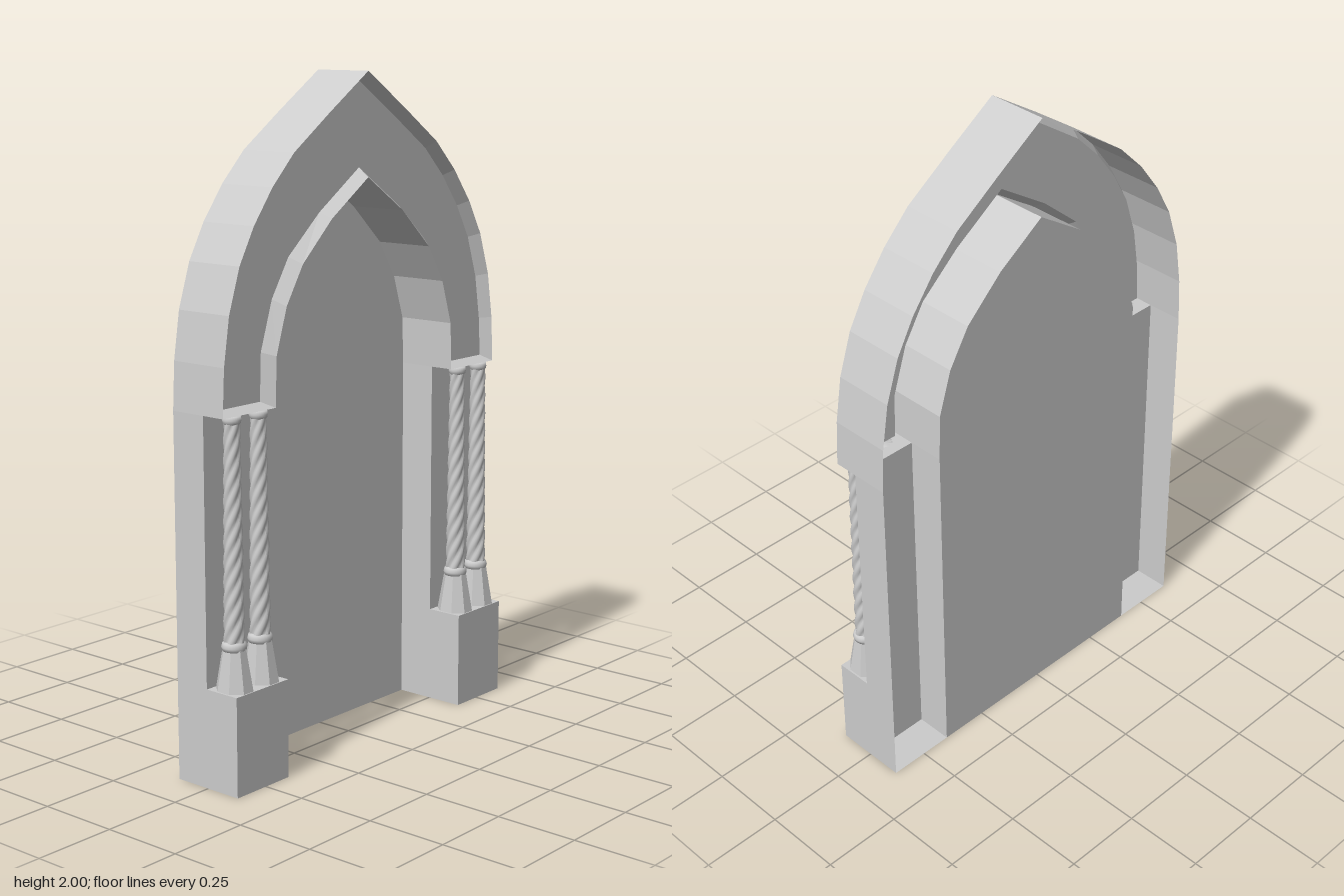
import * as THREE from 'three';

const BACK = -0.115, JAMB = 0, FRONT = 0.075, RECESS = 0.04, SPRING = 1.08;

// Half profiles of the pointed arches, from the springing up to the apex
const OUTER = [[0.617, 1.08], [0.61, 1.22], [0.588, 1.36], [0.545, 1.49], [0.486, 1.595],
  [0.41, 1.695], [0.32, 1.785], [0.17, 1.888], [0, 2]];
const OUTER_LIP = OUTER.map(([x, y], i) => [x * 0.968, i ? SPRING + (y - SPRING) * 0.97 : 1.097]);
const INNER = [[0.403, 1.08], [0.398, 1.225], [0.355, 1.36], [0.286, 1.472], [0.16, 1.59], [0, 1.697]];
const INNER_LIP = [[0.43, 1.097], [0.425, 1.236], [0.378, 1.38], [0.308, 1.492], [0.175, 1.607], [0, 1.724]];

const solid = new THREE.MeshStandardMaterial({ color: 0xcccccc });
const faceted = new THREE.MeshStandardMaterial({ color: 0xcccccc, flatShading: true, side: THREE.DoubleSide });

// Full arch line from the right springing over the apex to the left one
const full = (half) => [...half.map(([x, y]) => [-x, y]), ...half.slice(0, -1).reverse()];
const at = (line, z) => line.map(([x, y]) => [x, y, z]);

function add(parent, name, geometry, material = faceted) {
  const mesh = new THREE.Mesh(geometry, material);
  mesh.name = name;
  parent.add(mesh);
  return mesh;
}

// Flat-faced strip between two lines with the same number of points
function strip(a, b) {
  const pos = [];
  for (let i = 0; i < a.length - 1; i++) {
    pos.push(...a[i], ...b[i], ...a[i + 1], ...a[i + 1], ...b[i], ...b[i + 1]);
  }
  const g = new THREE.BufferGeometry();
  g.setAttribute('position', new THREE.Float32BufferAttribute(pos, 3));
  g.computeVertexNormals();
  return g;
}

function flat(points, z) {
  const shape = new THREE.Shape(points.map(([x, y]) => new THREE.Vector2(x, y)));
  return new THREE.ShapeGeometry(shape).translate(0, 0, z);
}

// Tapered shaft with rounded strands winding around it
function twistedShaft(bottom, top, r0, r1) {
  const g = new THREE.CylinderGeometry(1, 1, top - bottom, 30, 56, true);
  const p = g.attributes.position;
  for (let i = 0; i < p.count; i++) {
    const t = p.getY(i) / (top - bottom) + 0.5;
    const angle = Math.atan2(p.getX(i), p.getZ(i));
    const strand = Math.abs(Math.cos(2.5 * (angle - t * Math.PI * 4.4)));
    const r = THREE.MathUtils.lerp(r0, r1, t) * (0.8 + 0.2 * strand);
    p.setX(i, Math.sin(angle) * r);
    p.setZ(i, Math.cos(angle) * r);
  }
  g.computeVertexNormals();
  return g.translate(0, (bottom + top) / 2, 0);
}

function column(x) {
  const g = new THREE.Group();
  g.name = 'column';
  // Eight-sided flared foot
  const foot = new THREE.CylinderGeometry(0.034, 0.054, 0.12, 8);
  foot.rotateY(Math.PI / 8).scale(0.95, 1, 1.08).translate(0, 0.355, 0);
  add(g, 'columnFoot', foot);
  // Rounded collar above the foot
  const collar = [[0.026, 0.41], [0.034, 0.411], [0.037, 0.422], [0.034, 0.433], [0.027, 0.437]];
  const cap = [[0.02, 1.056], [0.025, 1.06], [0.027, 1.069], [0.025, 1.08], [0, 1.08]];
  const lathe = (pts) => new THREE.LatheGeometry(pts.map((q) => new THREE.Vector2(...q)), 24);
  add(g, 'columnCollar', lathe(collar), solid);
  add(g, 'columnShaft', twistedShaft(0.43, 1.062, 0.031, 0.024), solid);
  add(g, 'columnCap', lathe(cap), solid);
  g.position.set(x, 0, 0.058);
  return g;
}

export function createModel() {
  const model = new THREE.Group();
  model.name = 'archedDoorway';

  // Hollow arch: outer and inner walls, bevelled lips and a sunken front face
  const arch = new THREE.Group();
  arch.name = 'arch';
  model.add(arch);
  const outer = full(OUTER), outerLip = full(OUTER_LIP);
  const inner = full(INNER), innerLip = full(INNER_LIP);
  add(arch, 'outerArchWall', strip(at(outer, BACK), at(outer, FRONT)));
  add(arch, 'innerArchWall', strip(at(inner, FRONT), at(inner, BACK)));
  add(arch, 'outerLip', strip(at(outer, FRONT), at(outerLip, RECESS)));
  add(arch, 'innerLip', strip(at(innerLip, RECESS), at(inner, FRONT)));
  add(arch, 'archFace', flat([...outerLip, ...innerLip.slice().reverse()], RECESS));

  // Flat panel closing the opening at the back
  const xi = INNER[0][0], xo = OUTER[0][0];
  add(model, 'backPanel', flat([[-xi, 0], ...inner, [xi, 0]], BACK));

  for (const s of [-1, 1]) {
    const jamb = new THREE.Group();
    jamb.name = s > 0 ? 'leftJamb' : 'rightJamb';
    model.add(jamb);
    const a = s * xi, b = s * xo;
    // Bottom of the arch: bevelled lip and ledge over the columns
    add(jamb, 'bottomLip', strip([[a, SPRING, FRONT], [b, SPRING, FRONT]],
      [[s * INNER_LIP[0][0], 1.097, RECESS], [s * OUTER_LIP[0][0], 1.097, RECESS]]));
    add(jamb, 'archLedge', strip([[a, SPRING, JAMB], [b, SPRING, JAMB]],
      [[a, SPRING, FRONT], [b, SPRING, FRONT]]));
    // Jamb walls, open at the back
    add(jamb, 'jambWalls', strip(
      [[a, 0, BACK], [a, 0, JAMB], [b, 0, JAMB], [b, 0, BACK]],
      [[a, SPRING, BACK], [a, SPRING, JAMB], [b, SPRING, JAMB], [b, SPRING, BACK]]));
    add(jamb, 'jambFloor', strip([[a, 0, BACK], [b, 0, BACK]], [[a, 0, JAMB], [b, 0, JAMB]]));
    // Plinth carrying a pair of columns
    const plinth = add(jamb, 'plinth', new THREE.BoxGeometry(xo - xi, 0.295, 0.115), solid);
    plinth.position.set((a + b) / 2, 0.1475, 0.0575);
    for (const x of [0.457, 0.564]) jamb.add(column(s * x));
  }
  return model;
}
